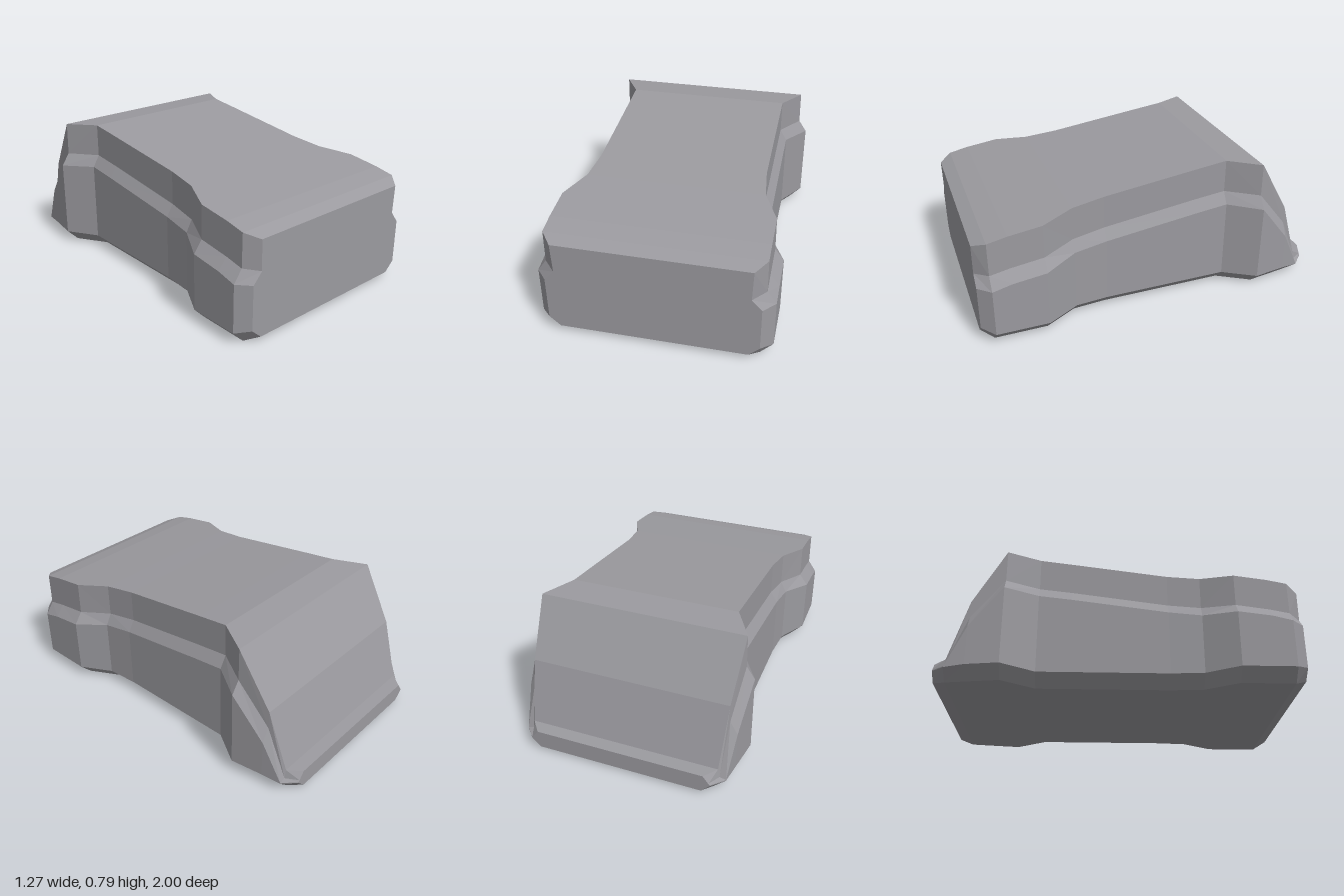
import * as THREE from 'three';

// Stations from front to back:
// z, outer half width, ledge half width, roof half width, bottom inset,
// floor y, bevel y, ledge bottom y, ledge top y, roof y
const stations = [
  [1.0, 0.572, 0.517, 0.523, 0.06, 0.035, 0.09, 0.343, 0.403, 0.573],
  [0.93, 0.635, 0.585, 0.583, 0.068, 0, 0.07, 0.343, 0.413, 0.602],
  [0.82, 0.635, 0.585, 0.583, 0.068, 0, 0.07, 0.37, 0.435, 0.625],
  [0.635, 0.635, 0.585, 0.583, 0.068, 0, 0.07, 0.393, 0.46, 0.65],
  [0.455, 0.535, 0.5, 0.5, 0.068, 0, 0.07, 0.418, 0.484, 0.674],
  [0.27, 0.52, 0.48, 0.48, 0.068, 0, 0.07, 0.442, 0.508, 0.697],
  [-0.27, 0.52, 0.48, 0.48, 0.068, 0, 0.07, 0.512, 0.579, 0.767],
  [-0.455, 0.52, 0.48, 0.48, 0.068, 0, 0.07, 0.533, 0.6, 0.79],
  [-0.635, 0.632, 0.585, 0.582, 0.068, 0, 0.07, 0.52, 0.59, 0.778],
  [-0.82, 0.605, 0.563, 0.56, 0.068, 0, 0.07, 0.29, 0.365, 0.465],
  [-0.93, 0.585, 0.55, 0.54, 0.065, 0, 0.06, 0.065, 0.075, 0.125],
  [-1.0, 0.52, 0.512, 0.48, 0.05, 0.015, 0.065, 0.07, 0.078, 0.12],
];

// Closed symmetric cross-section, anticlockwise seen from the front
function section([z, outer, ledge, top, inset, floor, bevel, low, high, roof]) {
  const half = [
    [outer - inset, floor], [outer, bevel], [outer, low], [ledge, high], [top, roof],
  ];
  const mirrored = half.map(([x, y]) => [-x, y]).reverse();
  return [...half, ...mirrored].map(([x, y]) => [x, y, z]);
}

function loft(rings) {
  const pos = [];
  const tri = (...corners) => corners.forEach((p) => pos.push(...p));
  const n = rings[0].length;
  // Skin between neighbouring sections, with mirrored diagonals on the two sides
  for (let i = 0; i < rings.length - 1; i++) {
    for (let j = 0; j < n; j++) {
      const k = (j + 1) % n;
      const a = rings[i][j], b = rings[i][k], c = rings[i + 1][k], d = rings[i + 1][j];
      if (j < n / 2) {
        tri(a, d, b);
        tri(b, d, c);
      } else {
        tri(a, d, c);
        tri(a, c, b);
      }
    }
  }
  // Flat end caps
  const cap = (ring, front) => {
    const centre = [0, (ring[0][1] + ring[4][1]) / 2, ring[0][2]];
    for (let j = 0; j < n; j++) {
      const a = ring[j], b = ring[(j + 1) % n];
      if (front) tri(centre, a, b);
      else tri(centre, b, a);
    }
  };
  cap(rings[0], true);
  cap(rings[rings.length - 1], false);

  const geometry = new THREE.BufferGeometry();
  geometry.setAttribute('position', new THREE.Float32BufferAttribute(pos, 3));
  geometry.computeVertexNormals();
  return geometry;
}

export function createModel() {
  const group = new THREE.Group();
  group.name = 'waistedBlock';
  const material = new THREE.MeshStandardMaterial({ color: 0x9b9a9f, flatShading: true });
  const body = new THREE.Mesh(loft(stations.map(section)), material);
  body.name = 'body';
  group.add(body);
  return group;
}
